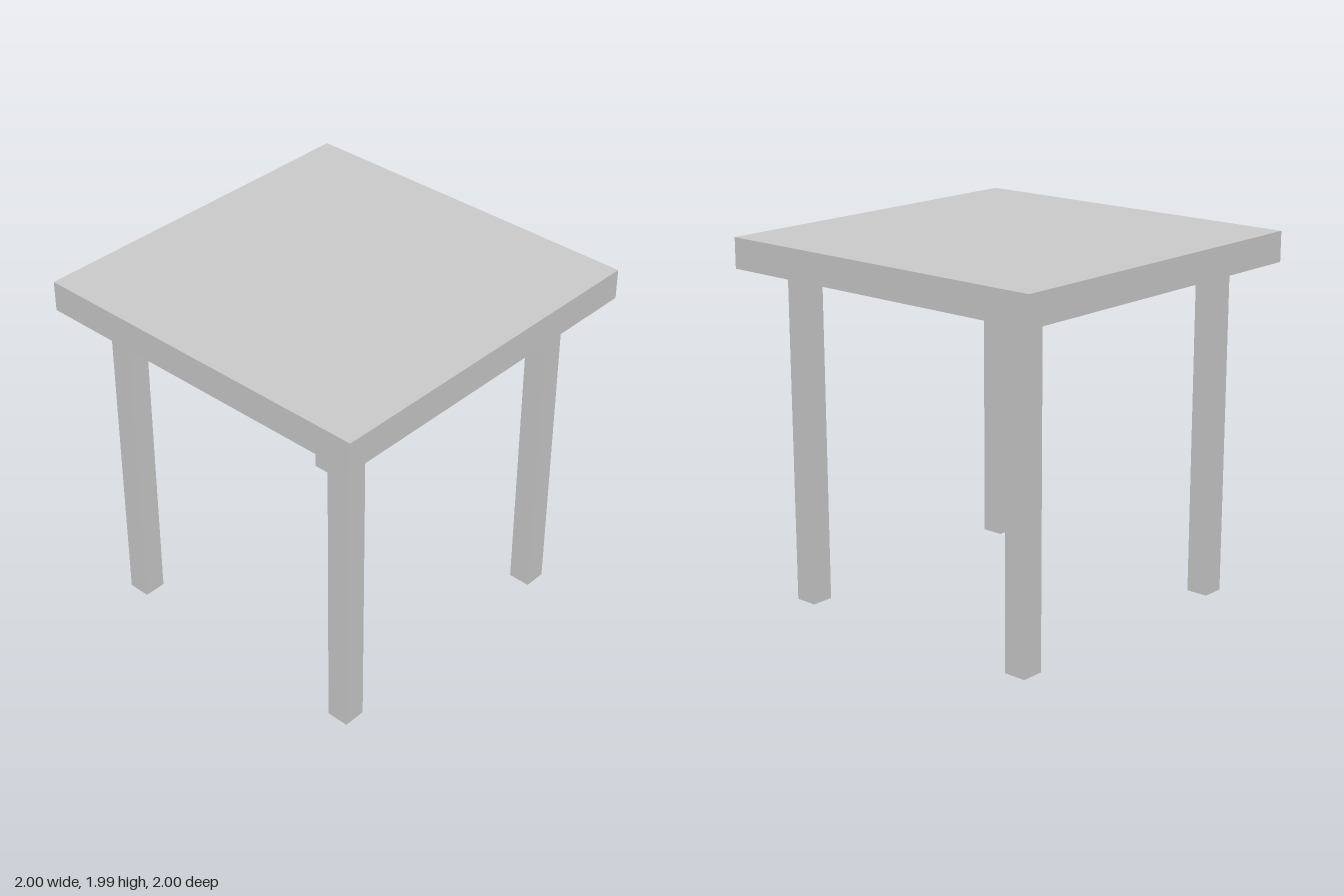
import * as THREE from 'three';

const TOP_SIZE = 2;
const TOP_THICKNESS = 0.165;
const LEG_HEIGHT = 1.825;
const LEG_WIDTH = 0.125;
const LEG_OFFSET = 0.75;

export function createModel() {
  const table = new THREE.Group();
  table.name = 'table';
  const material = new THREE.MeshStandardMaterial({ color: 0xcccccc });

  // Square slab
  const top = new THREE.Mesh(new THREE.BoxGeometry(TOP_SIZE, TOP_THICKNESS, TOP_SIZE), material);
  top.name = 'tableTop';
  top.position.y = LEG_HEIGHT + TOP_THICKNESS / 2;
  table.add(top);

  // Four square legs, inset from the corners
  const legGeometry = new THREE.BoxGeometry(LEG_WIDTH, LEG_HEIGHT, LEG_WIDTH);
  for (const [sideName, x] of [['Left', 1], ['Right', -1]]) {
    for (const [endName, z] of [['front', 1], ['back', -1]]) {
      const leg = new THREE.Mesh(legGeometry, material);
      leg.name = `${endName}${sideName}Leg`;
      leg.position.set(x * LEG_OFFSET, LEG_HEIGHT / 2, z * LEG_OFFSET);
      table.add(leg);
    }
  }
  return table;
}
